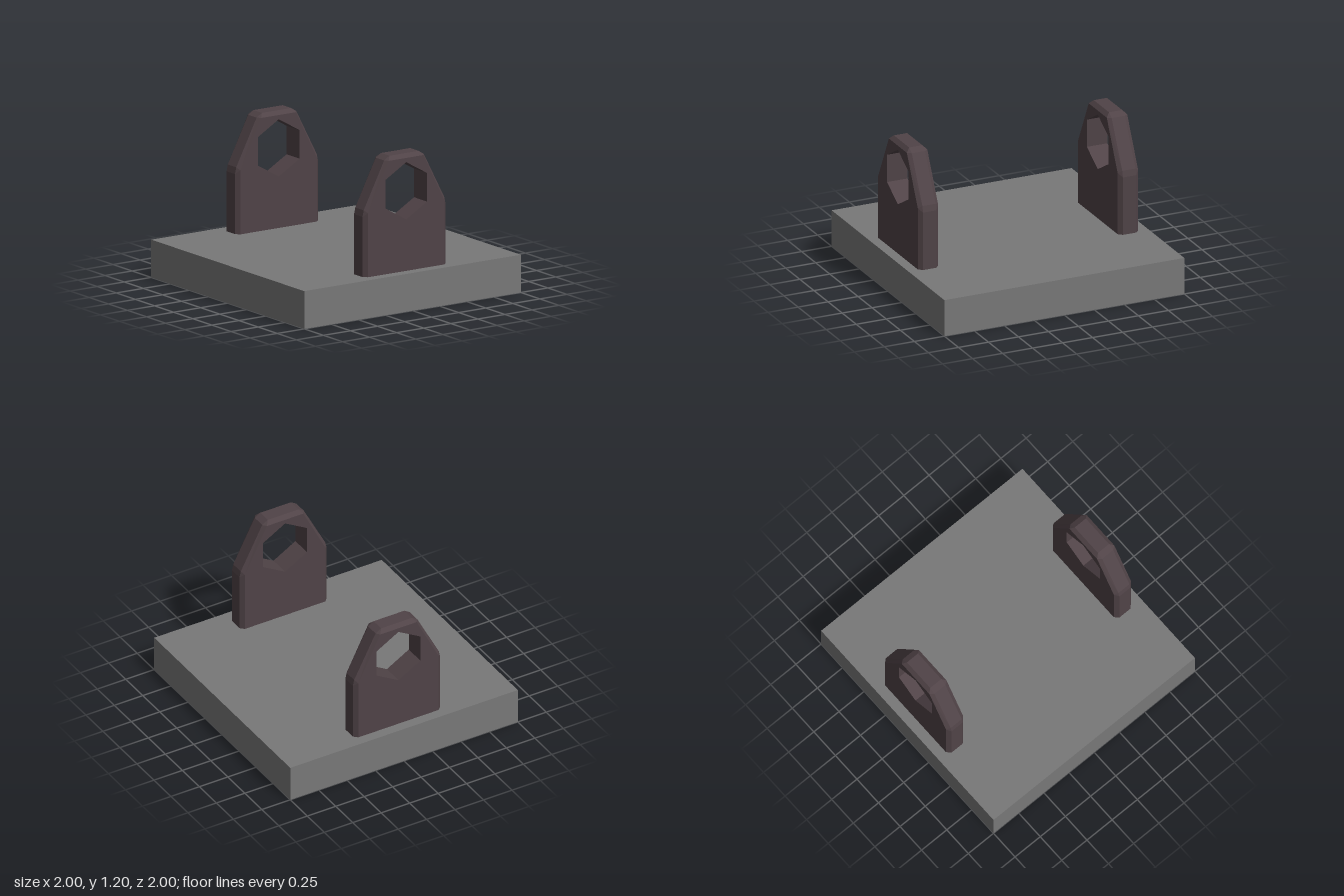
import * as THREE from 'three';

const FOOT = 0.22; // brackets are sunk slightly into the base
const HALF = 0.085; // half thickness of a bracket
const BEVEL = 0.03;

// Mirror right-hand points into a closed counter-clockwise outline
const mirror = (pts) => [...pts, ...pts.slice().reverse().map(([x, y]) => [-x, y])];

// Face outline repeats its corners so it pairs with the chamfered outer outline
const faceOutline = mirror([[0.353, FOOT], [0.353, 0.79], [0.353, 0.79], [0.16, 1.17], [0.16, 1.17]]);
const outerOutline = mirror([[0.383, FOOT], [0.383, 0.76], [0.372, 0.81], [0.183, 1.17], [0.135, 1.2]]);

// Flat plate with a hexagonal hole
function plateGeometry() {
  const corners = faceOutline.filter(([x, y], i) => {
    const p = faceOutline[(i + faceOutline.length - 1) % faceOutline.length];
    return p[0] !== x || p[1] !== y;
  });
  const shape = new THREE.Shape(corners.map(([x, y]) => new THREE.Vector2(x, y)));
  const hole = [];
  for (let i = 0; i < 6; i++) {
    const a = Math.PI / 2 - (i * Math.PI) / 3;
    hole.push(new THREE.Vector2(0.222 * Math.cos(a), 0.915 + 0.222 * Math.sin(a)));
  }
  shape.holes.push(new THREE.Path(hole));
  const geometry = new THREE.ExtrudeGeometry(shape, { depth: 2 * HALF, bevelEnabled: false });
  return geometry.translate(0, 0, -HALF);
}

// Bevelled border lofted through four outlines
function rimGeometry() {
  const loops = [
    [faceOutline, -HALF],
    [outerOutline, -HALF + BEVEL],
    [outerOutline, HALF - BEVEL],
    [faceOutline, HALF],
  ].map(([pts, z]) => pts.map(([x, y]) => [x, y, z]));
  const positions = [];
  for (let i = 0; i < loops.length - 1; i++) {
    const n = loops[i].length;
    for (let j = 0; j < n; j++) {
      const k = (j + 1) % n;
      const a = loops[i][j], b = loops[i][k], c = loops[i + 1][k], d = loops[i + 1][j];
      positions.push(...a, ...b, ...c, ...a, ...c, ...d);
    }
  }
  const geometry = new THREE.BufferGeometry();
  geometry.setAttribute('position', new THREE.Float32BufferAttribute(positions, 3));
  geometry.computeVertexNormals();
  return geometry;
}

export function createModel() {
  const baseGrey = new THREE.MeshStandardMaterial({ color: 0x787878 });
  baseGrey.name = 'baseGrey';
  const bracketBrown = new THREE.MeshStandardMaterial({ color: 0x504347 });
  bracketBrown.name = 'bracketBrown';

  const model = new THREE.Group();
  model.name = 'mountingBase';

  // Square base slab
  const base = new THREE.Mesh(new THREE.BoxGeometry(2, 0.293, 2), baseGrey);
  base.name = 'base';
  base.position.y = 0.1465;
  model.add(base);

  // Matching brackets at front and back
  const plate = plateGeometry();
  const rim = rimGeometry();
  for (const [name, z] of [['frontBracket', 0.833], ['backBracket', -0.833]]) {
    const bracket = new THREE.Group();
    bracket.name = name;
    bracket.position.z = z;
    const plateMesh = new THREE.Mesh(plate, bracketBrown);
    plateMesh.name = 'holedPlate';
    const rimMesh = new THREE.Mesh(rim, bracketBrown);
    rimMesh.name = 'bevelledRim';
    bracket.add(plateMesh, rimMesh);
    model.add(bracket);
  }
  return model;
}
